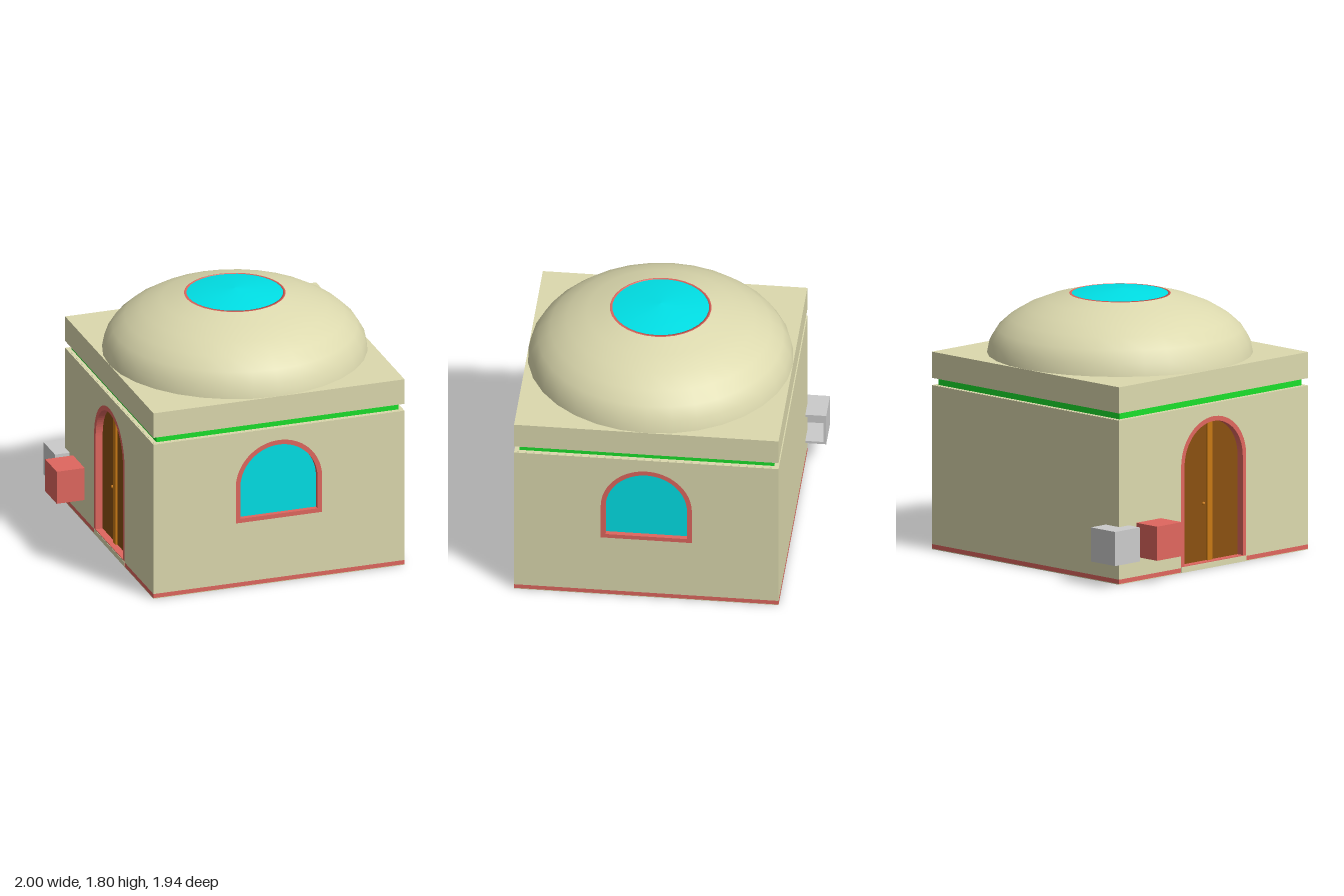
import * as THREE from 'three';

const mat = (color) => new THREE.MeshStandardMaterial({ color, side: THREE.DoubleSide });
const plaster = mat(0xdcd9ae), red = mat(0xe0675f), green = mat(0x1be02c), cyan = mat(0x00e0e6);
const wood = mat(0x8a5010), lightWood = mat(0xc87814), grey = mat(0xcccccc);

const CX = 0.1, CZ = 0.07, HALF = 0.9; // building centre and half width
const THICK = 0.1, SKIRT = 0.035, WALL_TOP = 1.13;
const SPRING = 0.73, R_OUT = 0.31, R_IN = 0.277; // arched openings

function add(parent, name, geometry, material, x = 0, y = 0, z = 0) {
  const mesh = new THREE.Mesh(geometry, material);
  mesh.name = name;
  mesh.position.set(x, y, z);
  parent.add(mesh);
  return mesh;
}

const box = (w, h, d) => new THREE.BoxGeometry(w, h, d);

function arch(r, bottom, Type = THREE.Shape) {
  const s = new Type();
  s.moveTo(-r, bottom);
  s.lineTo(r, bottom);
  s.lineTo(r, SPRING);
  s.absarc(0, SPRING, r, 0, Math.PI, false);
  s.lineTo(-r, bottom);
  return s;
}

function rect(x0, y0, x1, y1, Type = THREE.Shape) {
  const s = new Type();
  s.moveTo(x0, y0);
  s.lineTo(x1, y0);
  s.lineTo(x1, y1);
  s.lineTo(x0, y1);
  s.lineTo(x0, y0);
  return s;
}

const extrude = (shape, depth) =>
  new THREE.ExtrudeGeometry(shape, { depth, bevelEnabled: false, curveSegments: 20 });

// One wall, outer face at local z = 0, with an optional arched window or door
function facade(name, width, opening) {
  const g = new THREE.Group();
  g.name = name;
  const isDoor = opening === 'door';
  const bottom = isDoor ? 0.04 : 0.47;
  const shape = rect(-width / 2, SKIRT, width / 2, WALL_TOP);
  if (opening) shape.holes.push(arch(R_OUT, bottom, THREE.Path));
  add(g, 'wall', extrude(shape, THICK), plaster, 0, 0, -THICK);
  add(g, 'skirting', box(width, SKIRT - 0.005, THICK), red, 0, (SKIRT + 0.005) / 2, -THICK / 2);
  if (!opening) return g;

  // Flush frame around a recessed panel
  const sill = isDoor ? 0.045 : 0.5;
  const recess = isDoor ? 0.05 : 0.035;
  const frame = arch(R_OUT, bottom);
  frame.holes.push(arch(R_IN, sill, THREE.Path));
  add(g, opening + 'Frame', extrude(frame, THICK), red, 0, 0, -THICK);
  add(g, isDoor ? 'doorLeaves' : 'windowPane',
    extrude(arch(R_IN, sill), 0.02), isDoor ? wood : cyan, 0, 0, -recess - 0.02);
  if (isDoor) {
    const top = SPRING + R_IN;
    add(g, 'doorPost', box(0.05, top - sill, 0.02), lightWood, 0, (top + sill) / 2, -recess + 0.005);
    add(g, 'doorKnob', new THREE.SphereGeometry(0.012, 12, 8), lightWood, -0.055, 0.44, -recess + 0.008);
    add(g, 'threshold', box(2 * R_OUT, SKIRT, 0.01), plaster, 0, SKIRT / 2 + 0.003, -0.003);
  }
  return g;
}

// Point on the elliptical dome profile at an elevation angle
const domePoint = (a, r = HALF, h = 0.44) => new THREE.Vector2(r * Math.cos(a), h * Math.sin(a));

export function createModel() {
  const model = new THREE.Group();
  model.name = 'domedHouse';

  // Floor and four walls
  add(model, 'floor', box(1.8, 0.005, 1.8), plaster, CX, 0.0025, CZ);
  const inner = 1.8 - 2 * THICK;
  const walls = [
    ['frontWall', 1.8, 'window', 0],
    ['leftWall', inner, 'window', Math.PI / 2],
    ['backWall', 1.8, null, Math.PI],
    ['rightWall', inner, 'door', -Math.PI / 2],
  ];
  for (const [name, width, opening, angle] of walls) {
    const wall = facade(name, width, opening);
    wall.rotation.y = angle;
    wall.position.set(CX + HALF * Math.sin(angle), 0, CZ + HALF * Math.cos(angle));
    model.add(wall);
  }

  // Ceiling, recessed band and roof slab
  add(model, 'ceiling', box(1.78, 0.01, 1.78), plaster, CX, WALL_TOP - 0.004, CZ);
  add(model, 'greenBand', box(1.735, 0.05, 1.735), green, CX, 1.155, CZ);
  add(model, 'roofSlab', box(1.8, 0.18, 1.8), plaster, CX, 1.27, CZ);

  // Dome with a framed round skylight
  const step = Math.PI / 16;
  const profile = [];
  for (let i = 0; i <= 6; i++) profile.push(domePoint(i * step));
  add(model, 'dome', new THREE.LatheGeometry(profile, 32), plaster, CX, 1.36, CZ);
  const rim = profile[6];
  const glassR = 0.328;
  const ring = [rim, new THREE.Vector2(glassR, rim.y + 0.003), new THREE.Vector2(glassR, rim.y - 0.02)];
  add(model, 'skylightFrame', new THREE.LatheGeometry(ring, 32), red, CX, 1.36, CZ);
  const glass = [
    new THREE.Vector2(glassR, rim.y),
    new THREE.Vector2(0.175, 0.43),
    new THREE.Vector2(0, 0.441),
  ];
  add(model, 'skylightGlass', new THREE.LatheGeometry(glass, 32), cyan, CX, 1.36, CZ);

  // Wall-mounted red box beside the door
  add(model, 'redBox', box(0.235, 0.235, 0.235), red, -0.8825, 0.288, -0.55);

  // Hollow grey box on the back corner, open on its inner side
  const s = 0.1175, t = 0.018;
  const shell = rect(-s, -s, s, s);
  shell.holes.push(rect(-s + t, -s + t, s - t, s - t, THREE.Path));
  const corner = new THREE.Group();
  corner.name = 'cornerBox';
  corner.rotation.y = -Math.PI / 2;
  corner.position.set(-0.67, 0.28, -0.855);
  add(corner, 'boxShell', extrude(shell, 2 * s), grey);
  add(corner, 'boxBack', box(2 * (s - t), 2 * (s - t), t), grey, 0, 0, 2 * s - t / 2);
  model.add(corner);

  return model;
}
